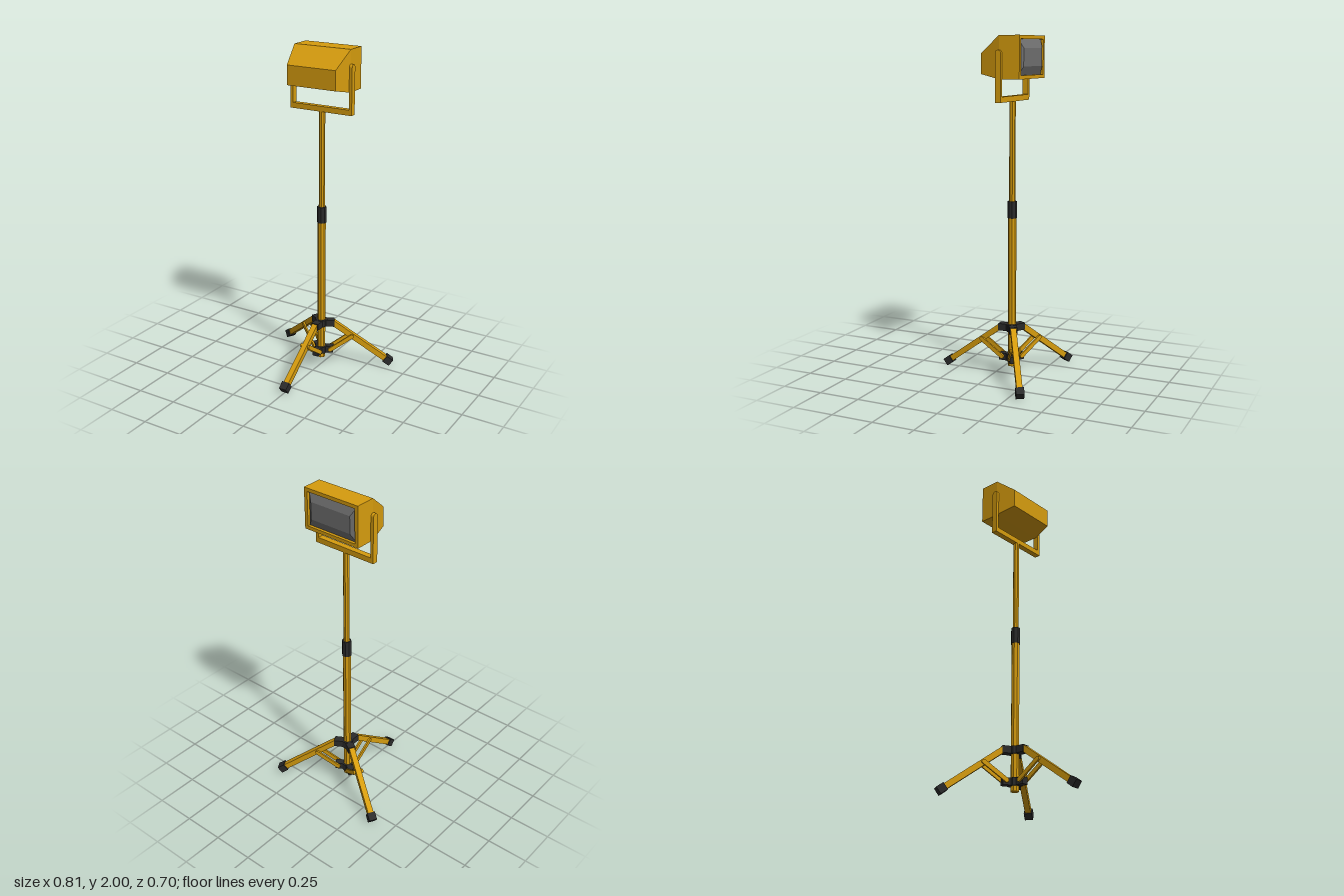
import * as THREE from 'three';

const AXIS_Z = -0.104; // pole axis

export function createModel() {
  const yellow = new THREE.MeshStandardMaterial({ name: 'yellow paint', color: 0xd69c0e });
  const black = new THREE.MeshStandardMaterial({ name: 'black plastic', color: 0x2b2b2b });
  const grey = new THREE.MeshStandardMaterial({ name: 'grey glass', color: 0x707070 });

  const model = new THREE.Group();
  model.name = 'workLight';

  const add = (parent, name, geometry, material, x = 0, y = 0, z = 0) => {
    const mesh = new THREE.Mesh(geometry, material);
    mesh.name = name;
    mesh.position.set(x, y, z);
    parent.add(mesh);
    return mesh;
  };

  // Octagonal prism with flats facing the axes; width is measured across flats
  const prism = (width, height) => {
    const r = width / 2 / Math.cos(Math.PI / 8);
    return new THREE.CylinderGeometry(r, r, height, 8).rotateY(Math.PI / 8).toNonIndexed();
  };
  const flat = (geometry) => {
    geometry.computeVertexNormals();
    return geometry;
  };

  // Round-ended flat bar along z, thickness along x
  const pill = (length, height, thickness) => {
    const r = height / 2;
    const s = new THREE.Shape();
    s.absarc(length / 2, 0, r, -Math.PI / 2, Math.PI / 2, false);
    s.absarc(-length / 2, 0, r, Math.PI / 2, Math.PI * 1.5, false);
    return new THREE.ExtrudeGeometry(s, { depth: thickness, bevelEnabled: false, curveSegments: 6 })
      .translate(0, 0, -thickness / 2)
      .rotateY(-Math.PI / 2);
  };

  // Flat-shaded loft through rectangles [z, halfWidth, bottom, top]
  const loft = (rects, capFirst, capLast) => {
    const loops = rects.map(([z, w, b, t]) => [[-w, b, z], [w, b, z], [w, t, z], [-w, t, z]]);
    const pos = [];
    const quad = (a, b, c, d) => [a, b, c, a, c, d].forEach((p) => pos.push(...p));
    for (let i = 0; i + 1 < loops.length; i++) {
      const A = loops[i], B = loops[i + 1];
      for (let j = 0; j < 4; j++) {
        const k = (j + 1) % 4;
        quad(A[j], B[j], B[k], A[k]);
      }
    }
    if (capFirst) quad(...loops[0]);
    if (capLast) quad(...[...loops[loops.length - 1]].reverse());
    const g = new THREE.BufferGeometry();
    g.setAttribute('position', new THREE.Float32BufferAttribute(pos, 3));
    return flat(g);
  };

  // Telescopic pole
  add(model, 'lowerPole', flat(prism(0.045, 0.92)), yellow, 0, 0.515, AXIS_Z);
  add(model, 'upperPole', flat(prism(0.034, 0.65)), yellow, 0, 1.32, AXIS_Z);
  add(model, 'poleCollar', flat(prism(0.052, 0.1)), black, 0, 1.0, AXIS_Z);

  // Tripod hubs
  const hubs = [['upperHub', 0.29, 0.044], ['lowerHub', 0.107, 0.044]];
  for (const [name, y, h] of hubs) {
    add(model, name, flat(prism(0.068, h)), black, 0, y, AXIS_Z);
  }

  // Three legs, each built outward along local +z
  const legNames = ['frontLeg', 'backLeftLeg', 'backRightLeg'];
  legNames.forEach((legName, i) => {
    const leg = new THREE.Group();
    leg.name = legName;
    leg.position.z = AXIS_Z;
    leg.rotation.y = (i * Math.PI * 2) / 3;
    model.add(leg);

    const top = [0.295, 0.065], foot = [0.033, 0.418];
    const span = (a, b) => ({
      length: Math.hypot(b[0] - a[0], b[1] - a[1]),
      angle: -Math.atan2(b[0] - a[0], b[1] - a[1]),
      y: (a[0] + b[0]) / 2,
      z: (a[1] + b[1]) / 2,
    });

    const s = span(top, foot);
    add(leg, 'legTube', new THREE.BoxGeometry(0.034, 0.034, s.length), yellow, 0, s.y, s.z).rotation.x = s.angle;
    add(leg, 'rubberFoot', new THREE.BoxGeometry(0.048, 0.046, 0.048), black, 0, foot[0], foot[1]).rotation.x = s.angle;

    // Pair of braces from the lower hub to the leg
    const b = span([0.11, 0.055], [0.203, 0.188]);
    for (const side of [-1, 1]) {
      add(leg, 'brace', pill(b.length, 0.025, 0.011), yellow, side * 0.0255, b.y, b.z).rotation.x = b.angle;
    }

    // Hub lugs
    add(leg, 'upperLug', new THREE.BoxGeometry(0.046, 0.042, 0.052), black, 0, 0.289, 0.054);
    add(leg, 'lowerLug', new THREE.BoxGeometry(0.04, 0.042, 0.05), black, 0, 0.107, 0.05);
  });

  // U-shaped yoke
  add(model, 'yokeBar', new THREE.BoxGeometry(0.406, 0.032, 0.035), yellow, 0, 1.645, AXIS_Z);
  for (const side of [-1, 1]) {
    const arm = pill(0.256, 0.035, 0.018).rotateX(Math.PI / 2);
    add(model, side > 0 ? 'leftYokeArm' : 'rightYokeArm', arm, yellow, side * 0.194, 1.774, AXIS_Z);
  }

  // Lamp housing with a tapered nose and a recessed rim around the glass
  add(model, 'lampHousing', loft([
    [0.02, 0.158, 1.785, 1.9],
    [-0.103, 0.184, 1.758, 2.0],
    [-0.225, 0.184, 1.758, 2.0],
    [-0.225, 0.163, 1.779, 1.979],
    [-0.205, 0.163, 1.779, 1.979],
  ], true, false), yellow);

  // Pillow-shaped glass
  add(model, 'lampGlass', loft([
    [-0.208, 0.163, 1.779, 1.979],
    [-0.23, 0.134, 1.828, 1.93],
  ], false, true), grey);

  return model;
}
